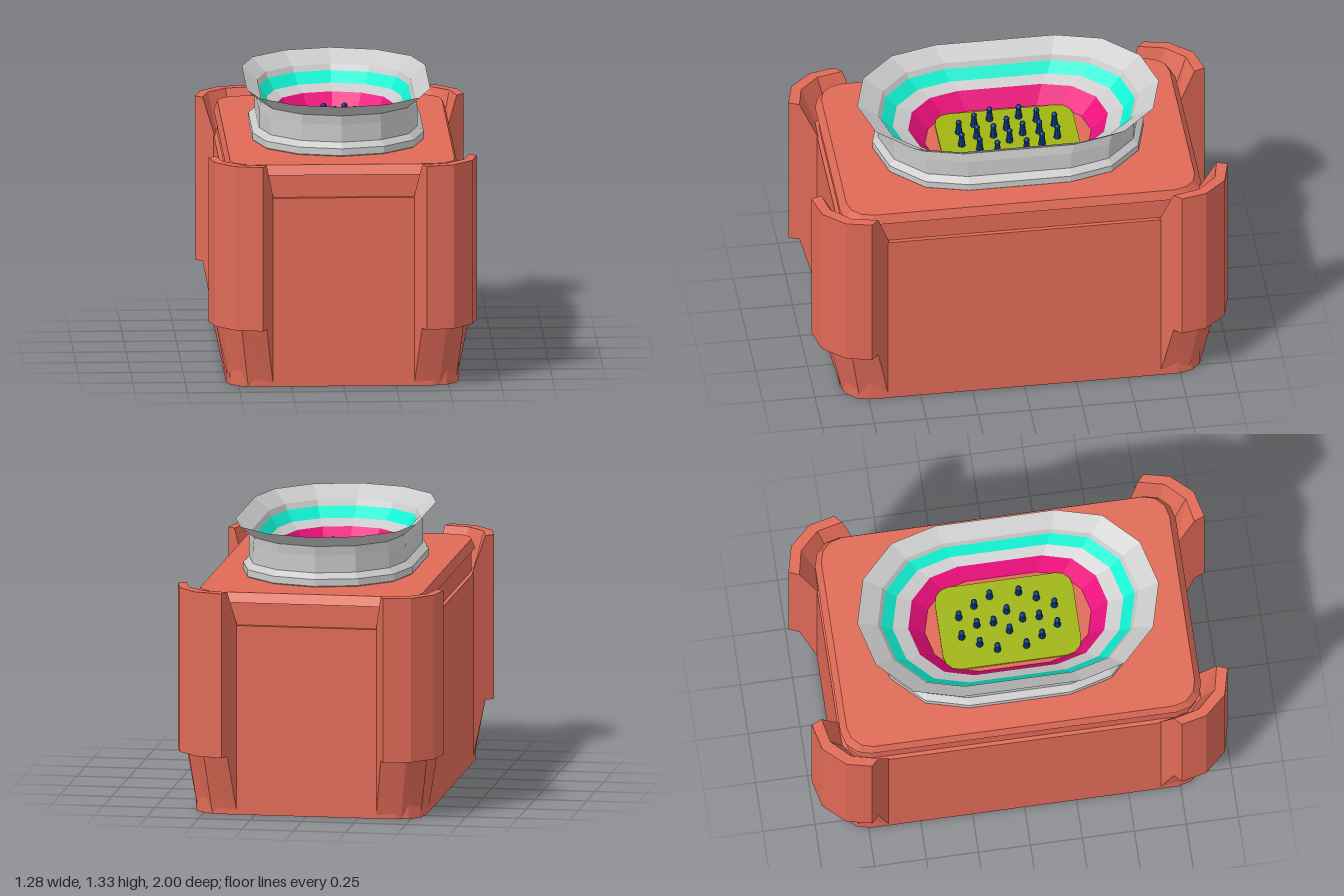
import * as THREE from 'three';

const material = (color) => new THREE.MeshStandardMaterial({ color, flatShading: true });
const RED = material(0xe06a57), GREY = material(0xcccccc), TEAL = material(0x10f2d2);
const PINK = material(0xee0f7d), OLIVE = material(0xa0b612), NAVY = material(0x0c3a7c);

// Horizontal rounded rectangle, three segments per corner, counterclockwise from above.
function ring(hx, hz, r, y) {
  const pts = [];
  [[1, 1], [-1, 1], [-1, -1], [1, -1]].forEach(([sx, sz], q) => {
    for (let i = 0; i <= 3; i++) {
      const a = (q + i / 3) * Math.PI / 2;
      const p = new THREE.Vector3(sx * (hx - r) + r * Math.cos(a), y, -sz * (hz - r) - r * Math.sin(a));
      if (!pts.length || p.distanceTo(pts[pts.length - 1]) > 1e-4) pts.push(p);
    }
  });
  return pts;
}

// Skin over a series of closed cross-sections, with optional end caps.
function loft(rings, capped) {
  const pos = [];
  const tri = (...ps) => ps.forEach((p) => pos.push(p.x, p.y, p.z));
  const n = rings[0].length;
  for (let i = 0; i < rings.length - 1; i++) {
    for (let j = 0; j < n; j++) {
      const k = (j + 1) % n;
      const a = rings[i][j], b = rings[i][k], c = rings[i + 1][k], d = rings[i + 1][j];
      tri(a, b, c);
      tri(a, c, d);
    }
  }
  if (capped) {
    const s = rings[0], e = rings[rings.length - 1];
    for (let j = 1; j < n - 1; j++) {
      tri(s[0], s[j + 1], s[j]);
      tri(e[0], e[j], e[j + 1]);
    }
  }
  const g = new THREE.BufferGeometry();
  g.setAttribute('position', new THREE.Float32BufferAttribute(pos, 3));
  g.computeVertexNormals();
  return g;
}

export function createModel() {
  const model = new THREE.Group();
  const add = (name, geometry, mat, parent = model) => {
    const mesh = new THREE.Mesh(geometry, mat);
    mesh.name = name;
    parent.add(mesh);
    return mesh;
  };

  // Body with a recessed band below the lid: [half width, half depth, corner radius, y]
  const body = [
    [0.555, 0.87, 0.13, 0], [0.555, 0.87, 0.13, 0.915], [0.535, 0.85, 0.12, 0.915],
    [0.535, 0.85, 0.12, 1.025], [0.552, 0.867, 0.13, 1.025], [0.535, 0.837, 0.115, 1.07],
  ];
  add('body', loft(body.map((s) => ring(...s)), true), RED);

  // Corner guards: each station gives outer, rim and body contact points [x, z]
  const stations = [
    { o: [0.64, 0.745], i: [0.605, 0.71], b: [0.55, 0.65] },
    { o: [0.613, 0.865], i: [0.575, 0.835], b: [0.537, 0.79] },
    { o: [0.52, 0.968], i: [0.488, 0.925], b: [0.455, 0.862] },
    { o: [0.39, 1.0], i: [0.37, 0.95], b: [0.335, 0.865] },
  ];
  for (const sx of [1, -1]) for (const sz of [1, -1]) {
    const sections = stations.map(({ o, i, b }) => {
      const at = ([x, z], y) => new THREE.Vector3(sx * x, y, sz * z);
      return [at(i, 0.295), at(o, 0.295), at(o, 1.09), at(i, 1.09), at(b, 0.915), at(b, 0)];
    });
    if (sx * sz < 0) sections.reverse();
    add(`${sz > 0 ? 'front' : 'back'}${sx > 0 ? 'Left' : 'Right'}CornerGuard`, loft(sections, true), RED);
  }

  // Oval neck built up from bands: [half width, half depth, y]
  const band = (name, profile, mat) =>
    add(name, loft(profile.map(([hx, hz, y]) => ring(hx, hz, hx, y)), false), mat);
  band('neck', [
    [0.395, 0.64, 1.065], [0.408, 0.652, 1.075], [0.408, 0.652, 1.108], [0.378, 0.625, 1.135],
    [0.378, 0.63, 1.22], [0.37, 0.638, 1.265],
  ], GREY);
  band('flange', [
    [0.37, 0.638, 1.265], [0.437, 0.725, 1.325], [0.365, 0.627, 1.265], [0.355, 0.61, 1.237],
  ], GREY);
  band('tealBand', [[0.355, 0.61, 1.237], [0.32, 0.555, 1.187]], TEAL);
  band('innerSlope', [[0.32, 0.555, 1.187], [0.277, 0.48, 1.16]], GREY);
  band('pinkBand', [[0.277, 0.48, 1.16], [0.23, 0.4, 1.07]], PINK);

  // Floor plate with its pegs
  add('floorPlate', loft([ring(0.21, 0.332, 0.075, 1.068), ring(0.21, 0.332, 0.075, 1.08)], true), OLIVE);
  const pegs = new THREE.Group();
  pegs.name = 'pegs';
  model.add(pegs);
  const shaft = new THREE.CylinderGeometry(0.011, 0.018, 0.06, 8);
  const tip = new THREE.SphereGeometry(0.015, 8, 6);
  const rows = [
    [0, [-0.05, 0.05]], [0.07, [-0.135, 0, 0.135]], [0.15, [-0.097, 0, 0.097]], [0.23, [-0.05, 0.05]],
  ];
  for (const [z, xs] of rows) for (const side of z ? [1, -1] : [1]) for (const x of xs) {
    add('pegShaft', shaft, NAVY, pegs).position.set(x, 1.11, side * z);
    add('pegTip', tip, NAVY, pegs).position.set(x, 1.14, side * z);
  }

  return model;
}
